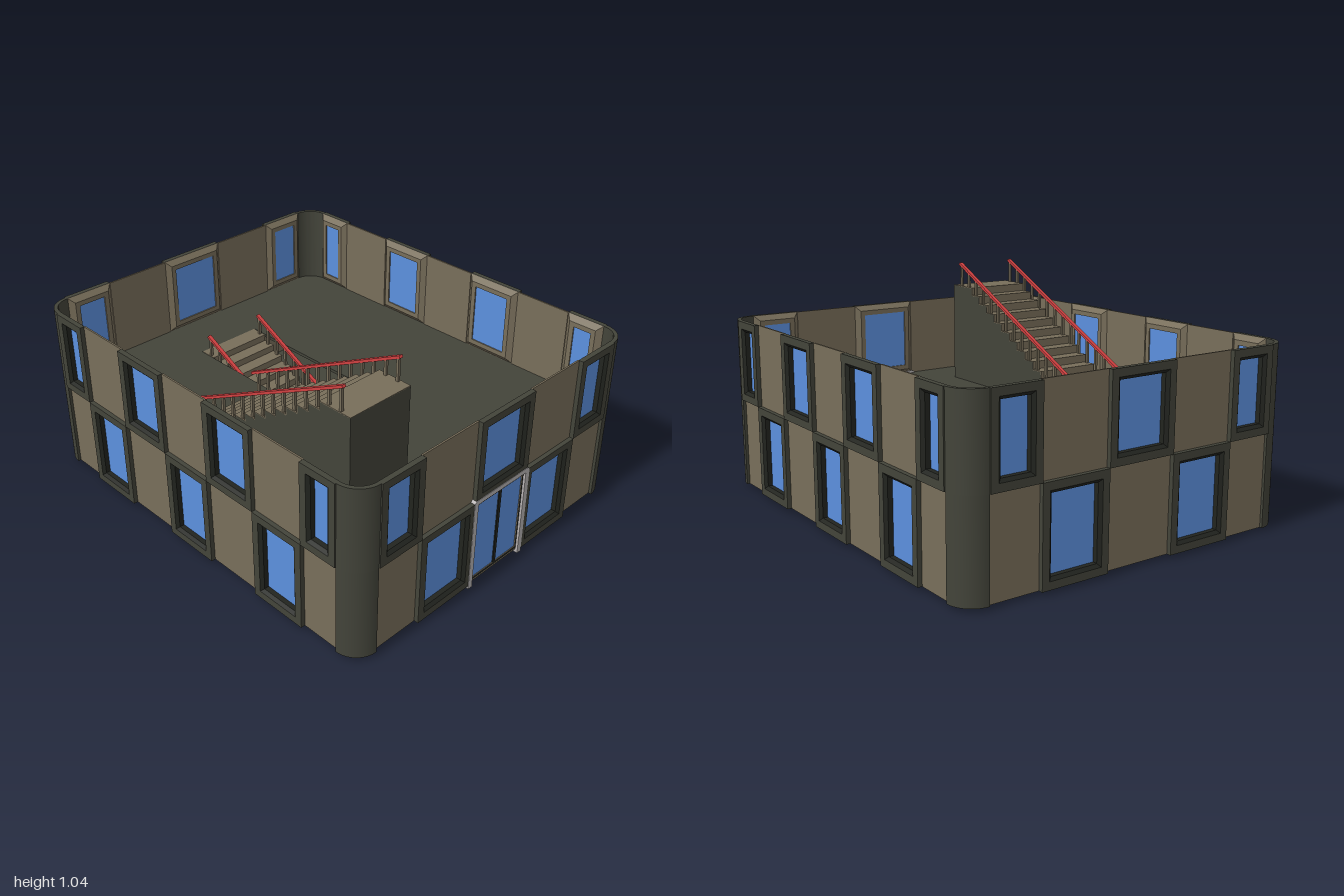
import * as THREE from 'three';
import { toCreasedNormals } from 'three/addons/utils/BufferGeometryUtils.js';

const mat = (color) => new THREE.MeshStandardMaterial({ color });
const DARK = mat(0x43443a), BROWN = mat(0x786e5a), BLACK = mat(0x22241f);
const GLASS = mat(0x5c90de), RED = mat(0xd04040), METAL = mat(0xb8b4b4);

const BASE = 0.015, MID = 0.435, TOP = 0.815;

function add(parent, name, geometry, material) {
  const mesh = new THREE.Mesh(geometry, material);
  mesh.name = name;
  parent.add(mesh);
  return mesh;
}

// Box given by its two extreme corners
function box(parent, name, x0, x1, y0, y1, z0, z1, material) {
  const mesh = add(parent, name, new THREE.BoxGeometry(x1 - x0, y1 - y0, z1 - z0), material);
  mesh.position.set((x0 + x1) / 2, (y0 + y1) / 2, (z0 + z1) / 2);
  return mesh;
}

// Rectangular moulding: the profile lists [inset, z] from the outer back edge round to the opening
function moulding(parent, name, x0, x1, y0, y1, profile, material) {
  const loops = profile.map(([m, z]) => [
    [x0 + m, y0 + m, z], [x1 - m, y0 + m, z], [x1 - m, y1 - m, z], [x0 + m, y1 - m, z],
  ]);
  const points = [];
  for (let k = 0; k < loops.length - 1; k++) {
    for (let i = 0; i < 4; i++) {
      const j = (i + 1) % 4, a = loops[k], b = loops[k + 1];
      points.push(...a[i], ...a[j], ...b[j], ...a[i], ...b[j], ...b[i]);
    }
  }
  const geometry = new THREE.BufferGeometry();
  geometry.setAttribute('position', new THREE.Float32BufferAttribute(points, 3));
  geometry.computeVertexNormals();
  return add(parent, name, geometry, material);
}

function windowUnit(parent, x0, x1, y0, y1, d) {
  const unit = new THREE.Group();
  unit.name = 'windowUnit';
  moulding(unit, 'windowSurround', x0, x1, y0, y1, [[0, d - 0.024], [0, d], [0.034, d]], DARK);
  moulding(unit, 'windowFrame', x0, x1, y0, y1, [[0.034, d], [0.048, d - 0.012], [0.048, d - 0.036]], BLACK);
  moulding(unit, 'innerReveal', x0, x1, y0, y1,
    [[0.048, d - 0.036], [0.048, d - 0.046], [0.025, d - 0.046], [0, d - 0.024]], BROWN);
  box(unit, 'glass', x0 + 0.048, x1 - 0.048, y0 + 0.048, y1 - 0.048, d - 0.04, d - 0.034, GLASS);
  parent.add(unit);
}

function door(parent, x0, x1, d) {
  const unit = new THREE.Group();
  unit.name = 'entrance';
  const jamb = (inset, z0, z1) => [[0, z0], [0, z1], [inset, z1], [inset, z0], [0, z0]];
  moulding(unit, 'doorFrame', x0, x1, BASE, MID, jamb(0.02, d - 0.04, d - 0.01), BROWN);
  for (const s of [-1, 1]) {
    const c = s * 0.076 + 0.003;
    box(unit, 'doorGlass', c - 0.07, c + 0.07, 0.03, 0.41, d - 0.022, d - 0.014, GLASS);
    moulding(unit, 'doorLeafFrame', c - 0.076, c + 0.076, 0.024, 0.418, jamb(0.008, d - 0.026, d - 0.009), BLACK);
  }
  // Rounded arch around the doorway
  const arch = new THREE.Shape();
  const w = 0.176, top = 0.447, r = 0.02;
  arch.moveTo(-w, 0);
  arch.lineTo(-w, top - r);
  arch.quadraticCurveTo(-w, top, -w + r, top);
  arch.lineTo(w - r, top);
  arch.quadraticCurveTo(w, top, w, top - r);
  arch.lineTo(w, 0);
  arch.lineTo(0.152, 0);
  arch.lineTo(0.152, 0.425);
  arch.lineTo(-0.152, 0.425);
  arch.lineTo(-0.152, 0);
  const geometry = new THREE.ExtrudeGeometry(arch, { depth: 0.045, bevelEnabled: false });
  geometry.translate(0, 0, 0.955);
  add(unit, 'doorArch', geometry, METAL);
  // Feet under the arch
  for (const s of [-1, 1]) box(unit, 'archFoot', s * 0.164 - 0.012, s * 0.164 + 0.012, 0, BASE, 0.935, 1, METAL);
  parent.add(unit);
}

// One facade: windows and plain panels alternate like a checkerboard
function facade(name, angle, d, edges, hasDoor) {
  const wall = new THREE.Group();
  wall.name = name;
  for (let i = 0; i < edges.length - 1; i++) {
    const x0 = edges[i], x1 = edges[i + 1];
    for (const upper of [false, true]) {
      const y0 = upper ? MID : BASE, y1 = upper ? TOP : MID;
      if (hasDoor && !upper && i === 2) door(wall, x0, x1, d);
      else if ((i % 2 === 0) === upper) windowUnit(wall, x0, x1, y0, y1, d);
      else box(wall, 'wallPanel', x0, x1, y0, y1, d - 0.028, d - 0.02, BROWN);
    }
  }
  wall.rotation.y = angle;
  return wall;
}

// Quarter-round shell for the corner in direction (sx, sz)
function corner(parent, sx, sz) {
  const a = Math.atan2(-sz, sx) - Math.PI / 4;
  for (const [y0, y1] of [[BASE, MID], [MID, TOP]]) {
    const shape = new THREE.Shape();
    shape.absarc(0, 0, 0.112, a, a + Math.PI / 2, false);
    shape.absarc(0, 0, 0.094, a + Math.PI / 2, a, true);
    const geometry = new THREE.ExtrudeGeometry(shape, { depth: y1 - y0, bevelEnabled: false, curveSegments: 8 });
    geometry.rotateX(-Math.PI / 2);
    const mesh = add(parent, 'roundedCorner', toCreasedNormals(geometry, 0.6), DARK);
    mesh.position.set(sx * 0.715, y0, sz * 0.88);
  }
}

// Rounded slab with an optional rectangular opening [x0, x1, z0, z1]
function slab(parent, name, y0, y1, opening) {
  const w = 0.809, l = 0.974, r = 0.1, h = Math.PI / 2;
  const shape = new THREE.Shape();
  [[1, 1], [-1, 1], [-1, -1], [1, -1]].forEach(([sx, sy], i) =>
    shape.absarc(sx * (w - r), sy * (l - r), r, i * h, (i + 1) * h, false));
  if (opening) {
    const [x0, x1, z0, z1] = opening;
    shape.holes.push(new THREE.Path([[x0, -z1], [x1, -z1], [x1, -z0], [x0, -z0]].map((p) => new THREE.Vector2(...p))));
  }
  const geometry = new THREE.ExtrudeGeometry(shape, { depth: y1 - y0, bevelEnabled: false, curveSegments: 8 });
  geometry.rotateX(-Math.PI / 2);
  geometry.translate(0, y0, 0);
  add(parent, name, toCreasedNormals(geometry, 0.6), DARK);
}

// Solid flight rising along local +z from z = 0, ending in a landing
function staircase({ width, count, tread, rise, landing, railHeight }) {
  const flight = new THREE.Group();
  const length = count * tread + landing, top = (count + 1) * rise;
  const profile = new THREE.Shape();
  profile.moveTo(0, 0);
  for (let i = 0; i <= count; i++) {
    const z0 = i * tread, z1 = i < count ? z0 + tread : length, y = (i + 1) * rise;
    profile.lineTo(z0, y);
    profile.lineTo(z1, y);
    box(flight, 'tread', -width / 2, width / 2, y - 0.002, y + 0.002, z0 - 0.004, z1, BROWN);
    box(flight, 'riser', -width / 2, width / 2, y - rise, y - 0.002, z0 - 0.002, z0 + 0.002, BROWN);
  }
  profile.lineTo(length, 0);
  const body = new THREE.ExtrudeGeometry(profile, { depth: width, bevelEnabled: false });
  body.rotateY(-Math.PI / 2);
  body.translate(width / 2, 0, 0);
  add(flight, 'stairBody', body, DARK);

  // Flat handrails on posts
  const zEnd = length - 0.045, yStart = rise + railHeight, yEnd = top + railHeight;
  const railY = (z) => yStart + (yEnd - yStart) * z / zEnd;
  for (const s of [-1, 1]) {
    const x = s * (width / 2 - 0.011);
    const rail = add(flight, 'handrail',
      new THREE.BoxGeometry(0.018, 0.012, Math.hypot(zEnd, yEnd - yStart)), RED);
    rail.position.set(x, (yStart + yEnd) / 2, zEnd / 2);
    rail.rotation.x = -Math.atan2(yEnd - yStart, zEnd);
    for (let z = zEnd - 0.012; z > 0.01; z -= tread) {
      const step = Math.min(Math.floor(z / tread), count);
      box(flight, 'railPost', x - 0.006, x + 0.006, (step + 1) * rise, railY(z), z - 0.006, z + 0.006, BROWN);
    }
  }
  return flight;
}

export function createModel() {
  const model = new THREE.Group();
  model.name = 'building';

  // Outer walls
  const frontEdges = [-0.715, -0.485, -0.165, 0.165, 0.485, 0.715];
  const sideEdges = [-0.88, -0.695, -0.418, -0.138, 0.138, 0.418, 0.695, 0.88];
  model.add(
    facade('frontWall', 0, 0.998, frontEdges, true),
    facade('backWall', Math.PI, 1, frontEdges, false),
    facade('leftWall', Math.PI / 2, 0.833, sideEdges, false),
    facade('rightWall', -Math.PI / 2, 0.833, sideEdges, false),
  );
  for (const sx of [-1, 1]) for (const sz of [-1, 1]) corner(model, sx, sz);

  // Floors
  slab(model, 'groundFloor', BASE, 0.03);
  slab(model, 'upperFloor', 0.42, MID, [-0.18, 0.155, -0.7, 0.075]);

  // Stairs through the upper floor, and stairs up to the open top
  const lower = staircase({ width: 0.33, count: 11, tread: 0.0627, rise: 0.0337, landing: 0.08, railHeight: 0.1 });
  lower.name = 'lowerStairs';
  lower.rotation.y = Math.PI;
  lower.position.set(-0.014, 0.03, 0.07);
  const upper = staircase({ width: 0.325, count: 12, tread: 0.0633, rise: 0.037, landing: 0.16, railHeight: 0.114 });
  upper.name = 'upperStairs';
  upper.position.set(-0.448, MID, -0.185);
  model.add(lower, upper);

  return model;
}
